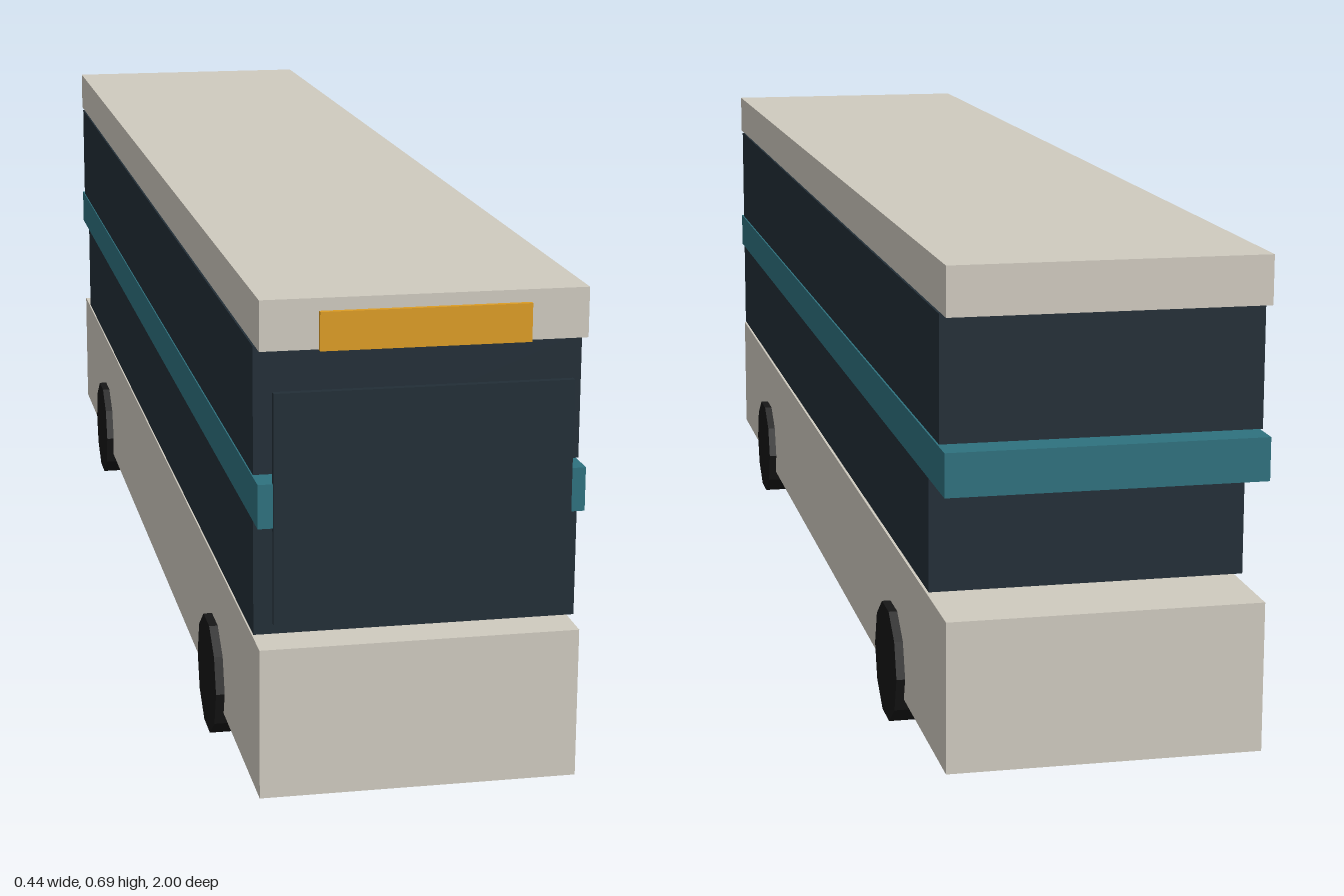
import * as THREE from 'three';

const paint = (color) => new THREE.MeshStandardMaterial({ color, flatShading: true });

export function createModel() {
  const bus = new THREE.Group();
  bus.name = 'bus';

  const shell = paint(0xcfcabf);
  const glass = paint(0x222e37);
  const teal = paint(0x2e717e);
  const amber = paint(0xdc9c24);
  const rubber = paint(0x161616);

  // Box given by its half width and its y and z limits
  function slab(name, material, halfWidth, y0, y1, z0, z1) {
    const mesh = new THREE.Mesh(new THREE.BoxGeometry(2 * halfWidth, y1 - y0, z1 - z0), material);
    mesh.position.set(0, (y0 + y1) / 2, (z0 + z1) / 2);
    mesh.name = name;
    bus.add(mesh);
  }

  // Stacked body layers, bottom to top
  slab('lowerBody', shell, 0.207, 0.047, 0.246, -1, 0.993);
  slab('lowerWindows', glass, 0.209, 0.255, 0.405, -0.9, 0.96);
  slab('stripe', teal, 0.209, 0.405, 0.462, -1, 0.993);
  slab('upperWindows', glass, 0.209, 0.465, 0.629, -0.967, 0.96);
  slab('roof', shell, 0.207, 0.63, 0.694, -1, 0.993);

  // Thin panels on the front
  slab('windshield', glass, 0.19, 0.28, 0.578, 0.989, 0.998);
  slab('destinationSign', amber, 0.133, 0.629, 0.678, 0.989, 1);

  // Ten-sided wheels resting on a flat facet
  const radius = 0.083;
  const tyre = new THREE.CylinderGeometry(radius, radius, 0.04, 10).rotateZ(Math.PI / 2);
  for (const [end, z] of [['front', 0.635], ['rear', -0.642]]) {
    for (const [side, x] of [['Left', 0.199], ['Right', -0.199]]) {
      const wheel = new THREE.Mesh(tyre, rubber);
      wheel.position.set(x, radius * Math.cos(Math.PI / 10), z);
      wheel.name = `${end}${side}Wheel`;
      bus.add(wheel);
    }
  }

  return bus;
}
